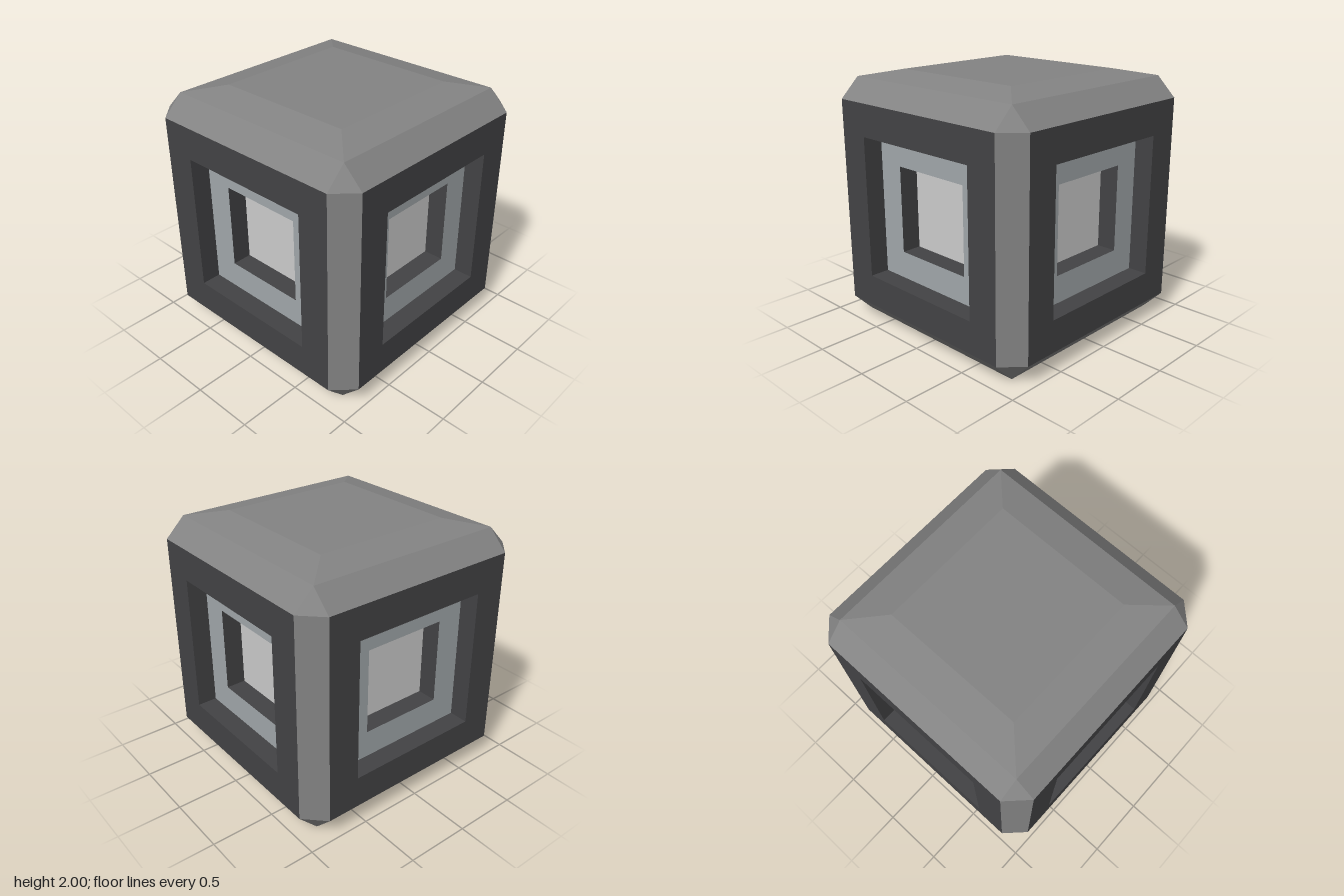
import * as THREE from 'three';

const OUT = 0.97;    // half width of the block
const IN = 0.815;    // half width inside the bevels
const TOP = 0.56;    // half width of the raised top
const MID = 0.975;   // height of the window centres
const STEP = 0.157;  // depth of each recess

const material = (color) => new THREE.MeshStandardMaterial({ color, flatShading: true });
const shellMat = material(0x838383);
const darkMat = material(0x434345);
const ringMat = material(0xa1a7aa);
const panelMat = material(0xcccccc);

function square(PathType, h) {
  return new PathType([[-h, -h], [h, -h], [h, h], [-h, h]].map(([x, y]) => new THREE.Vector2(x, y)));
}

// Square slab with a square hole, its front at z = front
function squareFrame(name, outer, inner, front, materials) {
  const shape = square(THREE.Shape, outer);
  shape.holes.push(square(THREE.Path, inner));
  const geometry = new THREE.ExtrudeGeometry(shape, { depth: STEP, bevelEnabled: false });
  geometry.translate(0, MID, front - STEP);
  const mesh = new THREE.Mesh(geometry, materials);
  mesh.name = name;
  return mesh;
}

// One quarter of the bevelled shell, as convex polygons
function shellQuarter() {
  const y0 = 0, y1 = 0.16, y2 = 1.79, y3 = 1.945, y4 = 2;
  const polygons = [
    [[-IN, y2, OUT], [IN, y2, OUT], [IN, y3, IN], [-IN, y3, IN]],     // upper bevel
    [[-IN, y0, IN], [IN, y0, IN], [IN, y1, OUT], [-IN, y1, OUT]],     // lower bevel
    [[IN, y1, OUT], [OUT, y1, IN], [OUT, y2, IN], [IN, y2, OUT]],     // upright bevel
    [[IN, y2, OUT], [OUT, y2, IN], [IN, y3, IN]],                     // upper corner
    [[IN, y1, OUT], [IN, y0, IN], [OUT, y1, IN]],                     // lower corner
    [[-IN, y3, IN], [IN, y3, IN], [TOP, y4, TOP], [-TOP, y4, TOP]],   // roof slope
    [[-TOP, y4, TOP], [TOP, y4, TOP], [0, y4, 0]],                    // roof
    [[IN, y0, IN], [-IN, y0, IN], [0, y0, 0]],                        // underside
  ];
  const positions = [];
  for (const p of polygons) {
    for (let i = 1; i < p.length - 1; i++) positions.push(...p[0], ...p[i], ...p[i + 1]);
  }
  const geometry = new THREE.BufferGeometry();
  geometry.setAttribute('position', new THREE.Float32BufferAttribute(positions, 3));
  geometry.computeVertexNormals();
  return geometry;
}

export function createModel() {
  const model = new THREE.Group();
  model.name = 'bevelledBlock';
  const quarter = shellQuarter();

  ['front', 'left', 'back', 'right'].forEach((name, i) => {
    const side = new THREE.Group();
    side.name = name + 'Side';
    side.rotation.y = i * Math.PI / 2;

    const shell = new THREE.Mesh(quarter, shellMat);
    shell.name = 'shell';

    // Stepped window: dark frame, lighter ring with dark walls, pale panel
    const frame = squareFrame('windowFrame', IN, 0.56, OUT, darkMat);
    const ring = squareFrame('windowRing', 0.58, 0.343, OUT - STEP, [ringMat, darkMat]);
    const panel = new THREE.Mesh(new THREE.PlaneGeometry(0.686, 0.686), panelMat);
    panel.name = 'windowPanel';
    panel.position.set(0, MID, OUT - 2 * STEP);

    side.add(shell, frame, ring, panel);
    model.add(side);
  });
  return model;
}
